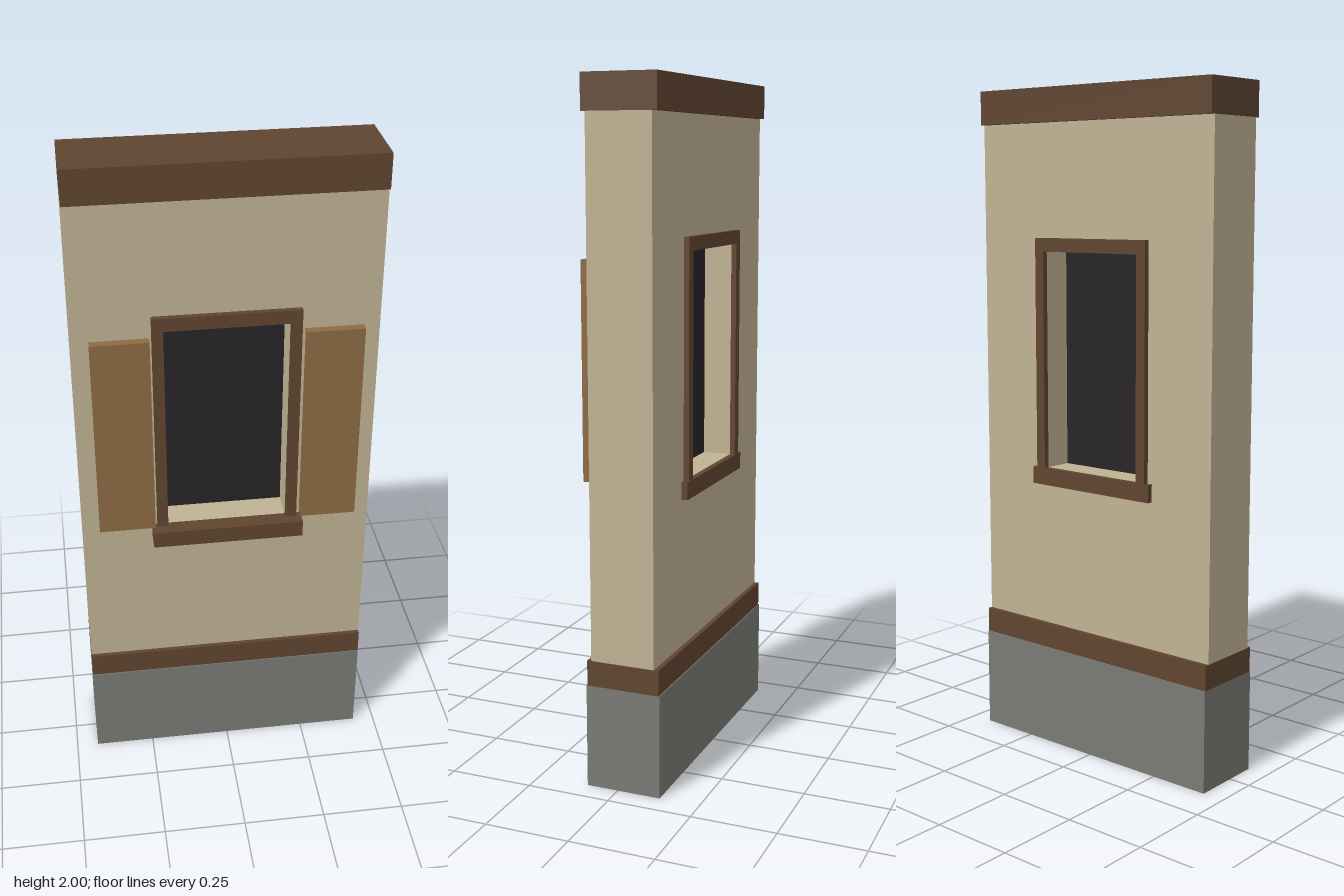
import * as THREE from 'three';

const material = (color) => new THREE.MeshStandardMaterial({ color });

export function createModel() {
  const model = new THREE.Group();
  model.name = 'wallWithWindow';

  const plaster = material(0xc0b393);
  const timber = material(0x604530);
  const board = material(0x8e6a44);
  const stone = material(0x7a7a75);
  const dark = material(0x272428);

  // Box given by its limits on each axis
  function block(name, mat, [x0, x1], [y0, y1], [z0, z1], parent = model) {
    const mesh = new THREE.Mesh(new THREE.BoxGeometry(x1 - x0, y1 - y0, z1 - z0), mat);
    mesh.position.set((x0 + x1) / 2, (y0 + y1) / 2, (z0 + z1) / 2);
    mesh.name = name;
    parent.add(mesh);
    return mesh;
  }

  const W = 0.433;                       // half width of the wall
  const front = 0.079, back = -0.113;    // wall faces
  const openX = 0.178, openY = [0.872, 1.525];

  // Stone plinth and the beams at the foot and top of the wall
  block('plinth', stone, [-W, W], [0, 0.305], [-0.13, 0.095]);
  block('lowerBeam', timber, [-W, W], [0.305, 0.38], [-0.127, 0.092]);
  block('upperBeam', timber, [-W, W], [1.9, 2], [-0.127, 0.092]);

  // Plaster wall with the window opening cut through
  const outline = new THREE.Shape();
  outline.moveTo(-W, 0.38).lineTo(W, 0.38).lineTo(W, 1.9).lineTo(-W, 1.9).closePath();
  const hole = new THREE.Path();
  hole.moveTo(-openX, openY[0]).lineTo(-openX, openY[1]);
  hole.lineTo(openX, openY[1]).lineTo(openX, openY[0]).closePath();
  outline.holes.push(hole);
  const wall = new THREE.Mesh(
    new THREE.ExtrudeGeometry(outline, { depth: front - back, bevelEnabled: false }), plaster);
  wall.position.z = back;
  wall.name = 'wall';
  model.add(wall);

  // Dark pane halfway through the opening
  block('windowPane', dark, [-openX, openX], openY, [-0.027, -0.007]);

  // Frame and sill on each face of the wall
  function addFrame(name, zFrame, zSill) {
    const frame = new THREE.Group();
    frame.name = name;
    block('leftJamb', timber, [openX, 0.21], openY, zFrame, frame);
    block('rightJamb', timber, [-0.21, -openX], openY, zFrame, frame);
    block('header', timber, [-0.21, 0.21], [openY[1], 1.565], zFrame, frame);
    block('sill', timber, [-0.225, 0.225], [0.82, openY[0]], zSill, frame);
    model.add(frame);
  }
  addFrame('frontFrame', [front, 0.096], [front, 0.129]);
  addFrame('backFrame', [-0.129, back], [-0.131, back]);

  // Open shutters beside the front frame
  block('leftShutter', board, [0.218, 0.383], [0.887, 1.508], [0.095, 0.121]);
  block('rightShutter', board, [-0.383, -0.218], [0.887, 1.508], [0.095, 0.121]);

  return model;
}
